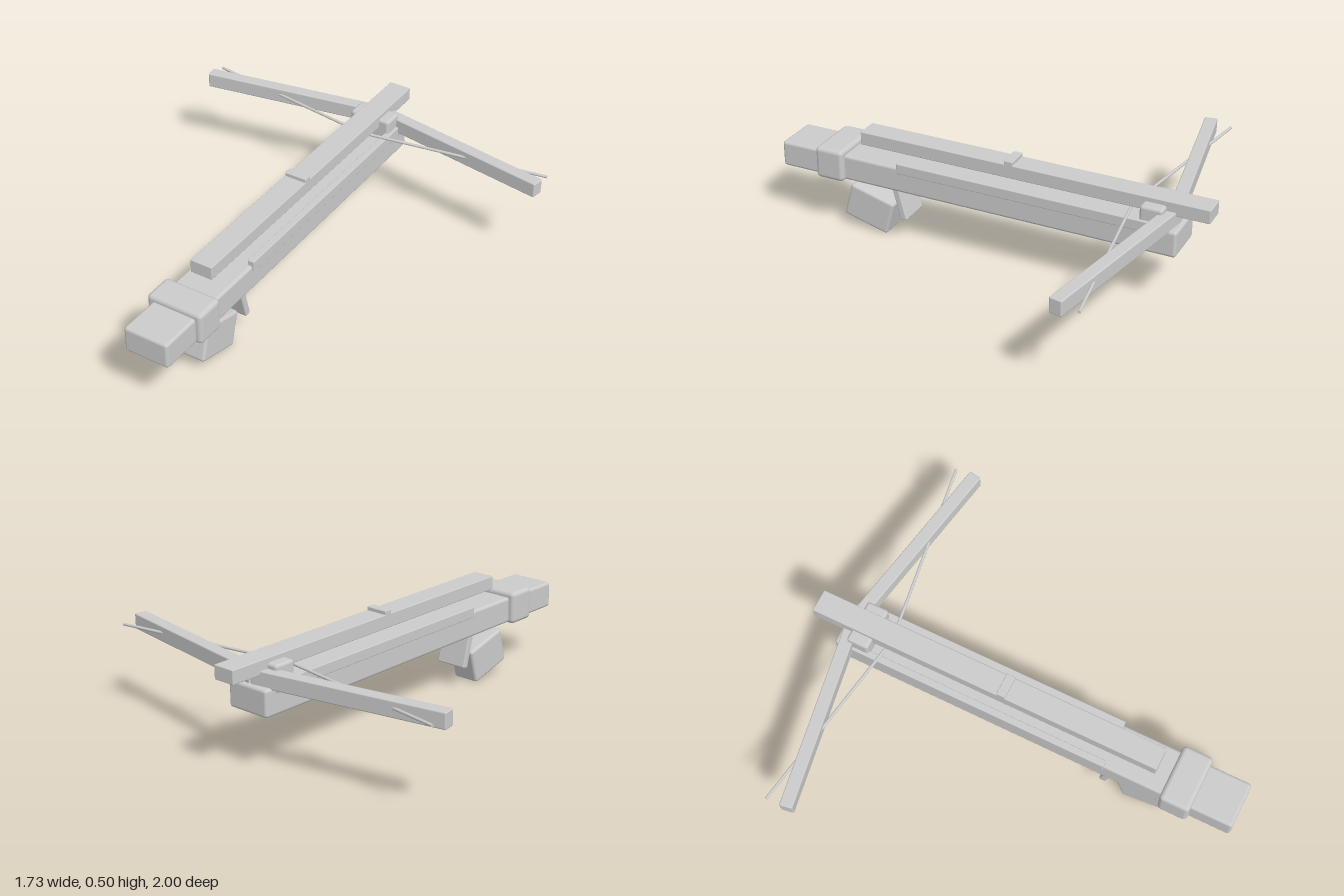
import * as THREE from 'three';
import { RoundedBoxGeometry } from 'three/addons/geometries/RoundedBoxGeometry.js';

const material = new THREE.MeshStandardMaterial({ color: 0xcccccc });

function add(parent, name, geometry, x, y, z) {
  const mesh = new THREE.Mesh(geometry, material);
  mesh.name = name;
  mesh.position.set(x, y, z);
  parent.add(mesh);
  return mesh;
}

// Softly bevelled block: size, bevel radius, centre
function block(parent, name, [w, h, d], r, [x, y, z]) {
  return add(parent, name, new RoundedBoxGeometry(w, h, d, 2, r), x, y, z);
}

// Thin round rod between two points
function rod(parent, name, a, b, radius) {
  const dir = b.clone().sub(a);
  const mid = a.clone().add(b).multiplyScalar(0.5);
  const mesh = add(parent, name, new THREE.CylinderGeometry(radius, radius, dir.length(), 12), mid.x, mid.y, mid.z);
  mesh.quaternion.setFromUnitVectors(new THREE.Vector3(0, 1, 0), dir.normalize());
  return mesh;
}

export function createModel() {
  const model = new THREE.Group();
  model.name = 'crossbow';
  const tilt = THREE.MathUtils.degToRad(15);

  // Stock with its butt collar
  block(model, 'stock', [0.21, 0.12, 1.88], 0.014, [0, 0.32, 0.06]);
  block(model, 'stockCollar', [0.264, 0.15, 0.138], 0.02, [0, 0.33, 0.743]);

  // Barrel above the stock, with a sight bar across it
  block(model, 'barrel', [0.104, 0.062, 1.62], 0.004, [0, 0.455, -0.19]);
  block(model, 'sightBar', [0.104, 0.03, 0.04], 0.004, [0, 0.488, -0.1]);

  // Mount that clamps the limbs
  block(model, 'limbMount', [0.2, 0.095, 0.102], 0.014, [0, 0.4175, -0.763]);

  // Grip and trigger
  block(model, 'grip', [0.13, 0.165, 0.225], 0.014, [0, 0.112, 0.586]).rotation.x = -tilt;
  block(model, 'trigger', [0.15, 0.155, 0.031], 0.006, [0, 0.18, 0.42]).rotation.x = tilt;

  // Paired parts: side rails, limbs and string halves
  const limbAngle = THREE.MathUtils.degToRad(9.9);
  const limbLength = 0.875;
  for (const side of [1, -1]) {
    const prefix = side > 0 ? 'left' : 'right';
    block(model, prefix + 'Rail', [0.032, 0.048, 1.235], 0.004, [side * 0.097, 0.379, -0.2075]);

    const limb = new THREE.Group();
    limb.name = prefix + 'LimbGroup';
    limb.position.set(0, 0.407, -0.835);
    limb.rotation.y = -side * limbAngle;
    block(limb, prefix + 'Limb', [limbLength, 0.07, 0.058], 0.006, [side * limbLength / 2, 0, 0]);
    model.add(limb);

    rod(model, prefix + 'String',
      new THREE.Vector3(0, 0.412, -0.648),
      new THREE.Vector3(side * 0.86, 0.412, -0.781), 0.0065);
  }
  return model;
}
